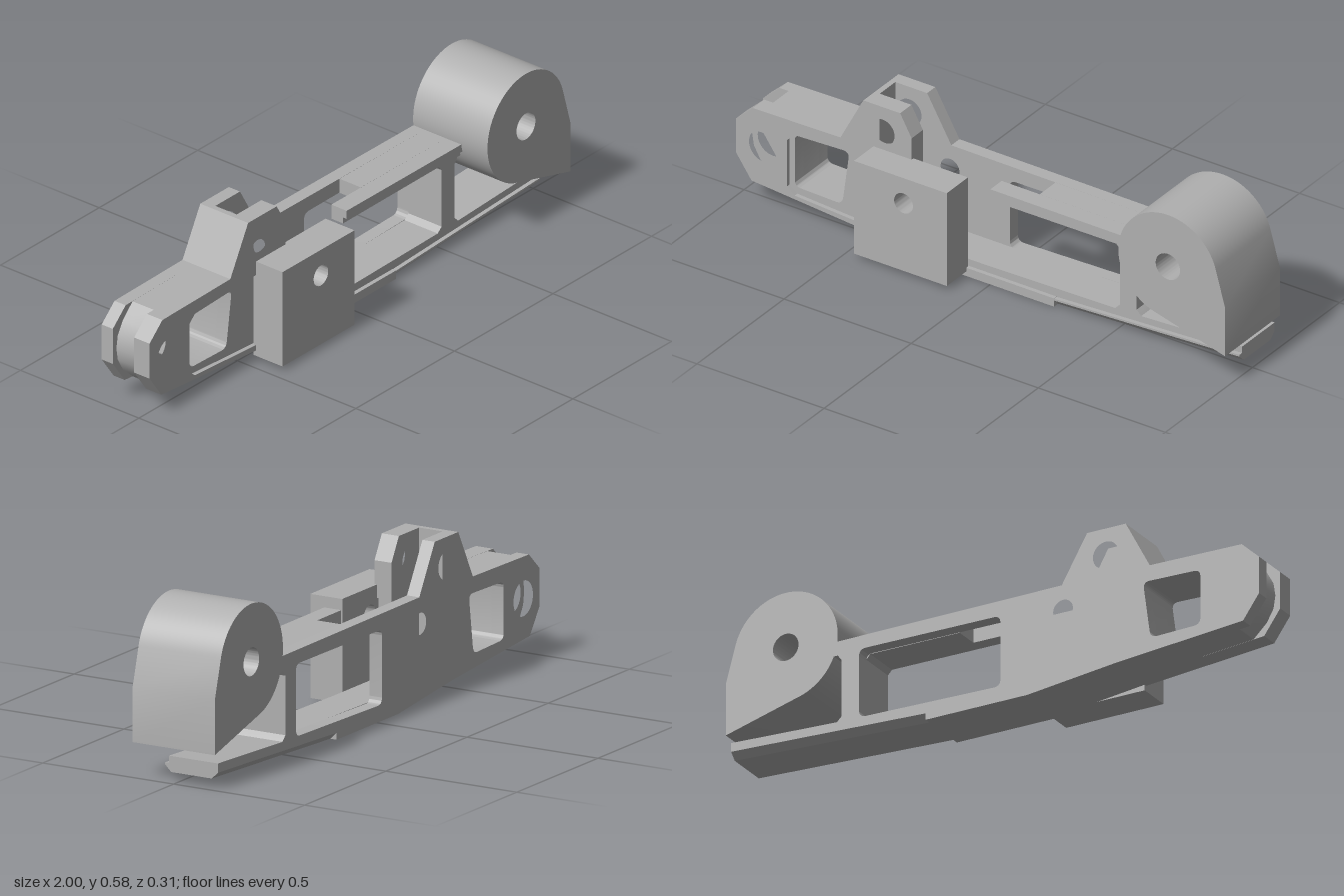
import * as THREE from 'three';
import { toCreasedNormals } from 'three/addons/utils/BufferGeometryUtils.js';

const grey = new THREE.MeshStandardMaterial({ color: 0xb0b0b0 });
grey.name = 'plain grey';

const shapeOf = (pts) => new THREE.Shape(pts.map(([x, y]) => new THREE.Vector2(x, y)));

const circle = (x, y, r) => new THREE.Path().absarc(x, y, r, 0, Math.PI * 2, true);

// Polygon opening with rounded corners
function roundedHole(pts, r) {
  const v = pts.map(([x, y]) => new THREE.Vector2(x, y));
  const path = new THREE.Path();
  v.forEach((p, i) => {
    const prev = v[(i + v.length - 1) % v.length], next = v[(i + 1) % v.length];
    const a = p.clone().add(prev.clone().sub(p).setLength(r));
    const b = p.clone().add(next.clone().sub(p).setLength(r));
    if (i === 0) path.moveTo(a.x, a.y); else path.lineTo(a.x, a.y);
    path.quadraticCurveTo(p.x, p.y, b.x, b.y);
  });
  path.closePath();
  return path;
}

// Upright plate between two depths
function slab(name, shape, z0, z1, holes = []) {
  shape.holes.push(...holes);
  const geo = new THREE.ExtrudeGeometry(shape, { depth: z1 - z0, bevelEnabled: false, curveSegments: 32 });
  geo.translate(0, 0, z0);
  const mesh = new THREE.Mesh(toCreasedNormals(geo, 0.5), grey);
  mesh.name = name;
  return mesh;
}

export function createModel() {
  const model = new THREE.Group();
  model.name = 'mechanicalArm';

  // Outline pieces shared by the layers
  const noseEnd = [[-0.94, 0.08], [-1, 0.165], [-1, 0.295], [-0.935, 0.355]];
  const roundEnd = [[-0.9, 0.077], [-0.95, 0.125], [-0.975, 0.17], [-0.982, 0.215],
    [-0.975, 0.26], [-0.95, 0.305], [-0.9, 0.355]];
  const earRise = [[-0.59, 0.36], [-0.5, 0.53]];
  const rightEnd = [[0.62, 0.36], [0.62, 0.31], [0.58, 0.31], [0.565, 0.29], [0.565, 0.09],
    [0.585, 0.07], [0.6, 0.05], [0.25, 0.04]];
  const belly = [[0.25, 0.003], [-0.13, 0.003], [-0.46, 0.04]];
  const cavity = (startX) => [[-0.03, 0.06], [0.48, 0.068], [0.5, 0.085], [0.5, 0.295],
    [0.485, 0.312], [startX, 0.31], [startX, 0.362]];

  const pivot = () => circle(-0.9, 0.215, 0.06);
  const earHole = () => circle(-0.425, 0.435, 0.048);
  const pinHole = () => circle(-0.265, 0.275, 0.037);
  const smallWindow = () => roundedHole([[-0.78, 0.105], [-0.593, 0.1], [-0.565, 0.305], [-0.78, 0.3]], 0.025);
  const largeWindow = () => roundedHole([[-0.03, 0.058], [0.5, 0.07], [0.5, 0.314], [-0.03, 0.31]], 0.025);

  // Back wall with both windows
  model.add(slab('backWall', shapeOf([...noseEnd, ...earRise, [-0.355, 0.53], [-0.26, 0.365],
    ...rightEnd, ...belly]), -0.157, -0.11,
    [pivot(), earHole(), pinHole(), smallWindow(), largeWindow()]));

  // Core, hollow behind the block and rounded at the nose
  model.add(slab('core', shapeOf([...roundEnd, ...earRise, [-0.48, 0.53], [-0.48, 0.06],
    ...cavity(0.15), ...rightEnd, ...belly]), -0.11, -0.02, [pivot(), smallWindow()]));

  // Front wall with the second ear
  model.add(slab('frontWall', shapeOf([...noseEnd, ...earRise, [-0.355, 0.53], [-0.31, 0.45],
    [-0.31, 0.06], ...cavity(0), ...rightEnd, ...belly]), -0.02, 0.03,
    [pivot(), earHole(), smallWindow()]));

  // Raised rim on the front face
  model.add(slab('frontRim', shapeOf([...noseEnd, ...earRise, [-0.355, 0.53], [-0.31, 0.45],
    [-0.31, 0.325], [-0.46, 0.32], [-0.77, 0.308], [-0.8, 0.28], [-0.8, 0.105], [-0.77, 0.08],
    [-0.46, 0.06], [-0.1, 0.034], [0.25, 0.034], ...belly]), 0.03, 0.045, [pivot(), earHole()]));
  model.add(slab('upperRim', shapeOf([[0, 0.332], [0.62, 0.332], [0.62, 0.36], [0, 0.362]]), 0.03, 0.045));

  // Chamfered lower rail, rising towards the free end
  const section = [[-0.133, 0.003], [0.022, 0.003], [0.045, 0.026], [0.045, 0.033],
    [0.03, 0.033], [0.03, 0.057], [-0.157, 0.057], [-0.157, 0.026]];
  const railGeo = new THREE.ExtrudeGeometry(shapeOf(section.map(([z, y]) => [-z, y])),
    { depth: 0.73, bevelEnabled: false });
  railGeo.rotateY(Math.PI / 2);
  const pos = railGeo.attributes.position;
  for (let i = 0; i < pos.count; i++) pos.setY(i, pos.getY(i) + pos.getX(i) * 0.045);
  railGeo.translate(0.25, 0, 0);
  railGeo.computeVertexNormals();
  const rail = new THREE.Mesh(railGeo, grey);
  rail.name = 'lowerRail';
  model.add(rail);

  // Square block on the front
  model.add(slab('frontBlock', shapeOf([[-0.46, 0.02], [-0.095, 0.02], [-0.095, 0.37], [-0.46, 0.37]]),
    0.035, 0.157, [pinHole()]));

  // Wide drum with a pointed lower corner
  const drum = new THREE.Shape();
  drum.moveTo(1, 0.122);
  drum.lineTo(1, 0.305);
  drum.absarc(0.775, 0.385, 0.195, 0.27, 4.4, false);
  drum.closePath();
  model.add(slab('drum', drum, -0.157, 0.157, [circle(0.775, 0.385, 0.048)]));

  return model;
}
